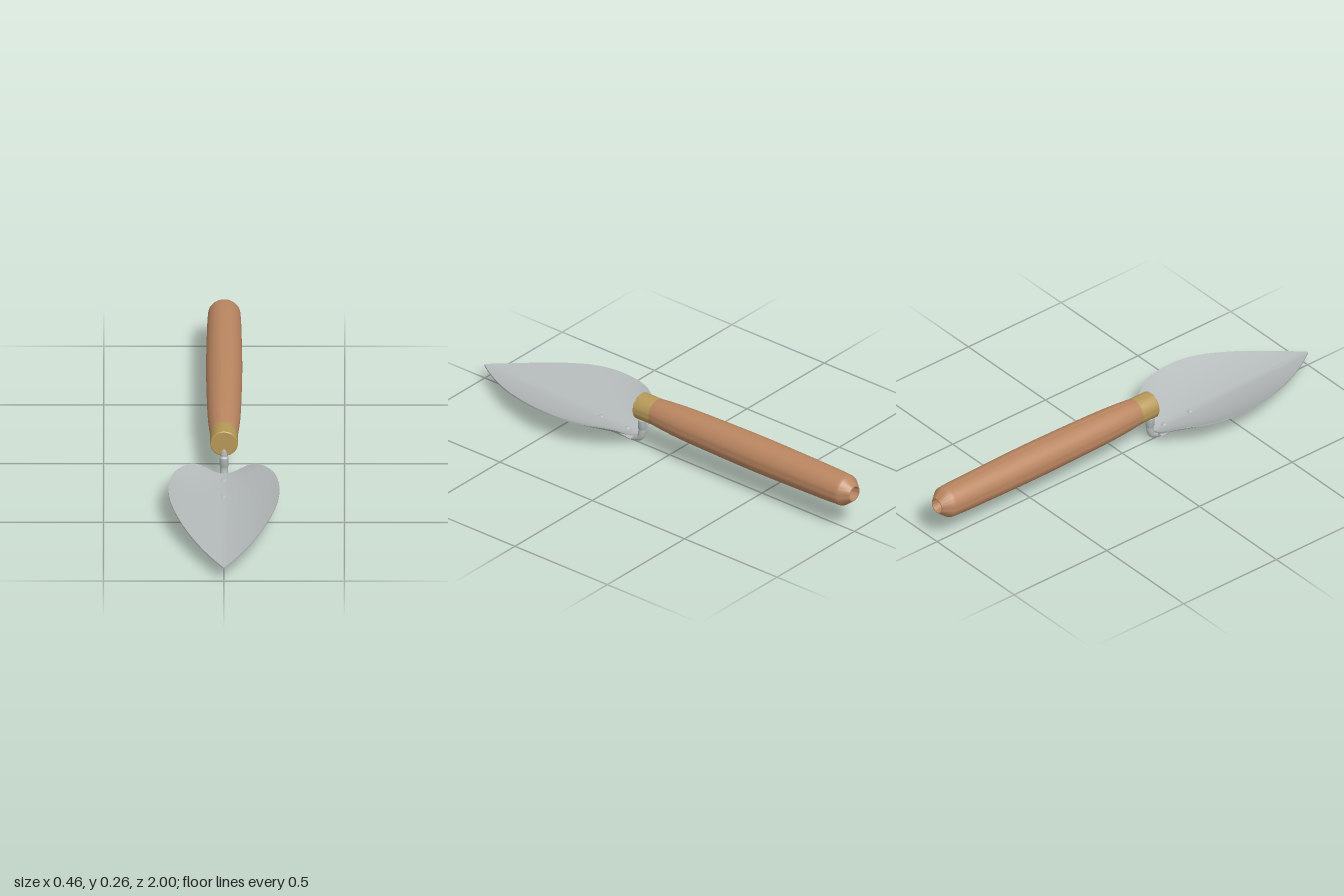
import * as THREE from 'three';
import { toCreasedNormals } from 'three/addons/utils/BufferGeometryUtils.js';

const mat = (name, color) => Object.assign(new THREE.MeshStandardMaterial({ color }), { name });
const v2 = (x, y) => new THREE.Vector2(x, y);

const keelY = (z) => 0.037 + 0.022 * (z - 0.165) / 0.835;
const thickness = 0.007;

// Leaf-shaped dished blade, lofted from heel to point with thin closed sections
function bladeGeometry() {
  const outline = new THREE.SplineCurve([
    [0.165, 0.07], [0.175, 0.103], [0.2, 0.137], [0.25, 0.178], [0.32, 0.213], [0.43, 0.23],
    [0.56, 0.219], [0.7, 0.175], [0.82, 0.118], [0.92, 0.058], [0.98, 0.017], [1, 0.003],
  ].map(([z, w]) => v2(z, w))).getPoints(66);
  const n = 24, ring = 2 * (n + 1), pos = [], index = [];
  for (const { x: z, y: w } of outline) {
    const curl = 0.88 + 2.4 * Math.exp(-(z - 0.18) / 0.07);
    for (let k = 0; k < ring; k++) {
      const top = k <= n;
      const x = w * (2 * (top ? k : ring - 1 - k) / n - 1);
      pos.push(x, keelY(z) + 0.12 * Math.abs(x) + curl * x * x + (top ? thickness : 0), z);
    }
  }
  const last = outline.length - 1;
  for (let r = 0; r < last; r++) {
    for (let k = 0; k < ring; k++) {
      const a = r * ring + k, b = r * ring + (k + 1) % ring;
      index.push(a, a + ring, b, b, a + ring, b + ring);
    }
  }
  // heel and point caps
  for (let j = 0; j < n; j++) {
    const t = j, u = j + 1, b = ring - 1 - j, c = ring - 2 - j, o = last * ring;
    index.push(t, u, c, t, c, b, o + t, o + c, o + u, o + t, o + b, o + c);
  }
  const g = new THREE.BufferGeometry();
  g.setAttribute('position', new THREE.Float32BufferAttribute(pos, 3));
  g.setIndex(index);
  return toCreasedNormals(g, 0.6);
}

export function createModel() {
  const model = new THREE.Group();
  model.name = 'trowel';
  const steel = mat('steel', 0xb4b9ba);
  const wood = mat('wood', 0xb98560);
  const brass = mat('brass', 0xb69856);

  const add = (name, geometry, material, x = 0, y = 0, z = 0) => {
    const mesh = new THREE.Mesh(geometry, material);
    mesh.name = name;
    mesh.position.set(x, y, z);
    model.add(mesh);
    return mesh;
  };
  const lathe = (points, sides = 48) =>
    toCreasedNormals(new THREE.LatheGeometry(points.map(([r, y]) => v2(r, y)), sides), 0.5);

  // Handle with a chamfered butt and a hanging hole
  const swell = new THREE.SplineCurve([
    [0.067, -0.955], [0.071, -0.85], [0.075, -0.55], [0.074, -0.35], [0.069, -0.1], [0.062, 0.02], [0.057, 0.07],
  ].map(([r, z]) => v2(r, z))).getPoints(30).map((p) => [p.x, p.y]);
  add('handle', lathe([[0, -0.96], [0.026, -0.96], [0.03, -1], [0.034, -1], [0.064, -0.963], ...swell, [0, 0.07]])
    .rotateX(Math.PI / 2), wood, 0, 0.18, 0);

  // Ferrule
  add('ferrule', lathe([[0.057, 0.065], [0.0575, 0.07], [0.0575, 0.152], [0.054, 0.155], [0, 0.155]])
    .rotateX(Math.PI / 2), brass, 0, 0.18, 0);

  // Shank: post entering the ferrule, elbow, and rounded end under the blade
  add('shankPost', lathe([
    [0, 0.068], [0.016, 0.07], [0.0185, 0.076], [0.0185, 0.114], [0.014, 0.121],
    [0.0135, 0.138], [0.01, 0.152], [0, 0.157],
  ], 24), steel, 0, 0, 0.148);
  const bend = new THREE.CatmullRomCurve3([
    [0.08, 0.148], [0.055, 0.149], [0.032, 0.157], [0.02, 0.18], [0.016, 0.218],
  ].map(([y, z]) => new THREE.Vector3(0, y, z)));
  add('shankElbow', new THREE.TubeGeometry(bend, 24, 0.016, 20), steel);
  add('shankEnd', new THREE.SphereGeometry(0.016, 20, 12), steel, 0, 0.016, 0.218);

  // Tapered diamond-section tang beneath the blade
  add('tang', toCreasedNormals(new THREE.CylinderGeometry(0.006, 0.04, 0.27, 4)
    .rotateX(Math.PI / 2).scale(1, 0.28, 1), 0.2), steel, 0, 0.027, 0.315);

  add('blade', bladeGeometry(), steel);

  // Rivets
  for (const z of [0.225, 0.367]) {
    add('rivet', new THREE.SphereGeometry(0.013, 20, 10).scale(1, 0.4, 1), steel, 0, keelY(z) + thickness + 0.001, z);
  }
  return model;
}
